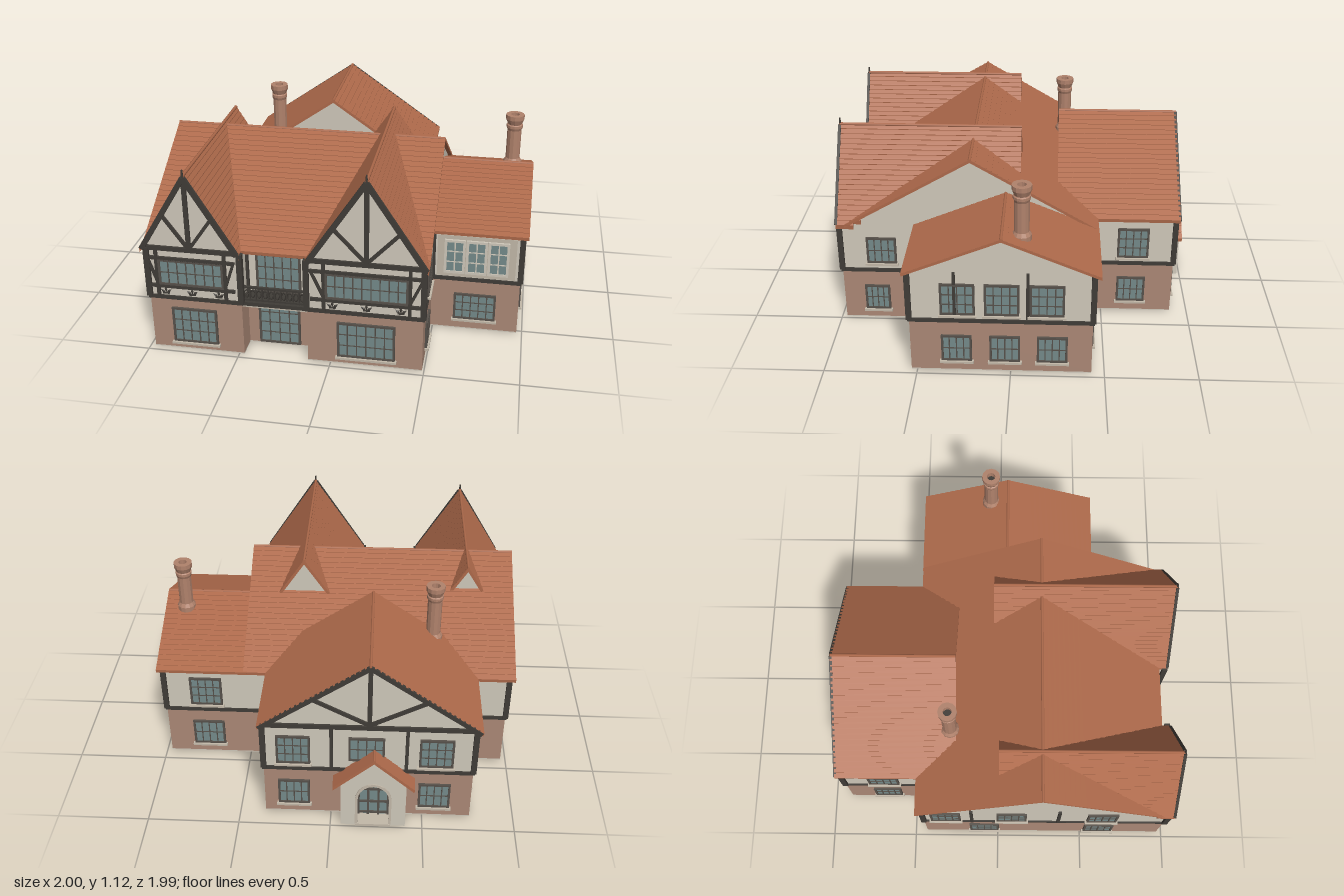
import * as THREE from 'three';
import { mergeGeometries } from 'three/addons/utils/BufferGeometryUtils.js';

const mat = (name, color) => Object.assign(new THREE.MeshStandardMaterial({ color }), { name });

export function createModel() {
  const house = new THREE.Group();
  house.name = 'house';
  const roofTile = mat('roof tile', 0xae6a4b), brick = mat('brick', 0xab8876), render = mat('cream render', 0xcfc8ba),
    timber = mat('dark timber', 0x403c37), glass = mat('window glass', 0x748a8a), frame = mat('window frame', 0x57514a),
    stone = mat('sill stone', 0xc2b8a8), chimneyBrick = mat('chimney brick', 0xb0826c);

  const add = (parent, name, geo, m) => {
    const mesh = new THREE.Mesh(geo, m);
    mesh.name = name;
    parent.add(mesh);
    return mesh;
  };
  const box = (parent, name, m, w, h, d, x, y, z) => {
    const b = add(parent, name, new THREE.BoxGeometry(w, h, d), m);
    b.position.set(x, y, z);
    return b;
  };
  const shapeOf = pts => new THREE.Shape(pts.map(p => new THREE.Vector2(p[0], p[1])));
  const extrude = (shape, depth) => new THREE.ExtrudeGeometry(shape, { depth, bevelEnabled: false, curveSegments: 8 });

  // One group per wall direction: x runs to the viewer's right, z points outward
  const face = (name, turn) => {
    const g = new THREE.Group();
    g.name = name;
    g.rotation.y = turn * Math.PI / 2;
    house.add(g);
    return g;
  };
  const front = face('frontDetails', 0), left = face('leftDetails', 1), back = face('backDetails', 2), right = face('rightDetails', -1);

  // Walls: storeys share one footprint [x, z]
  const plan = [[-.97, .97], [-.47, .97], [-.47, .85], [-.12, .85], [-.12, .97], [.49, .97], [.49, .53], [.97, .53],
    [.97, -.43], [.36, -.43], [.36, -.9], [-.76, -.9], [-.76, -.43], [-.97, -.43]];
  const storey = (name, m, y0, y1) => {
    const geo = extrude(shapeOf(plan.map(([x, z]) => [x, -z])), y1 - y0);
    add(house, name, geo.rotateX(-Math.PI / 2).translate(0, y0, 0), m);
  };
  storey('floor', render, .006, .012);
  storey('groundFloorWalls', brick, .012, .32);
  storey('upperFloorWalls', render, .32, .62);

  // Timber band and corner posts around the footprint
  plan.forEach(([x, z], i) => {
    const [x2, z2] = plan[(i + 1) % plan.length];
    box(house, 'timberBand', timber, Math.abs(x2 - x) + .016, .022, Math.abs(z2 - z) + .016, (x + x2) / 2, .326, (z + z2) / 2);
    box(house, 'cornerPost', timber, .03, .29, .03, x, .475, z);
  });

  // Gabled roof laid in overlapping courses; start(y) trims each course where it meets another roof
  function gable(name, o) {
    const { c, half, ridge, eave, from, to, alongX, n, start } = o;
    const slope = (ridge - eave) / half, tv = .014 * Math.hypot(1, slope), parts = [];
    const nx = .003 * slope / Math.hypot(1, slope), ny = .003 / Math.hypot(1, slope);
    for (let i = 0; i < n; i++) for (const s of [-1, 1]) {
      const xa = half * i / n, xb = half * (i + 1) / n, ya = ridge - slope * xa, yb = ridge - slope * xb;
      const begin = start ? start(yb) : from;
      const pts = [[s * xa, ya], [s * (xb + nx), yb + ny], [s * xb, yb - tv], [s * xa, ya - tv]];
      parts.push(extrude(shapeOf(pts), to - begin).translate(0, 0, begin));
    }
    const cap = new THREE.CylinderGeometry(.009, .009, to - from, 6).rotateX(Math.PI / 2).translate(0, ridge - .003, (from + to) / 2);
    parts.push(cap.toNonIndexed());
    const place = g => alongX ? g.rotateY(Math.PI / 2).translate(0, 0, c) : g.translate(c, 0, 0);
    add(house, name + 'Roof', place(mergeGeometries(parts)), roofTile);
    if (o.wall) {
      const [w0, w1, w] = o.wall, ye = Math.max(eave, ridge - slope * w - tv * .8);
      const wall = extrude(shapeOf([[-w, eave - .01], [w, eave - .01], [w, ye], [0, ridge - tv * .8], [-w, ye]]), w1 - w0);
      add(house, name + 'GableWall', place(wall.translate(0, 0, w0)), render);
    }
  }
  gable('main', { c: .237, half: .7, ridge: 1.03, eave: .62, from: -1, to: .512, alongX: true, n: 24, wall: [-.97, .49, .668] });
  gable('extension', { c: .045, half: .51, ridge: .83, eave: .62, from: .49, to: 1, alongX: true, n: 16, wall: [.48, .97, .476] });
  gable('backWing', { c: -.203, half: .588, ridge: 1.03, eave: .62, from: -.922, to: -.235, n: 22, wall: [-.9, -.25, .556] });
  const trim = z0 => y => y > .86 ? z0 : .237 + (1.03 - y) / .586 - .05;
  gable('frontRightGable', { c: -.735, half: .265, ridge: 1.05, eave: .62, from: .005, to: .985, n: 18, start: trim(.005), wall: [.02, .97, .232] });
  gable('frontLeftGable', { c: .195, half: .315, ridge: 1.093, eave: .62, from: -.03, to: .985, n: 20, start: trim(-.03), wall: [-.015, .97, .285] });
  gable('porch', { c: -.232, half: .217, ridge: .47, eave: .275, from: -.995, to: -.9, n: 7 });

  // Timber beam between two points on a wall
  const beam = (g, n, u0, y0, u1, y1, w = .022, m = timber) => {
    const b = box(g, 'timberBeam', m, Math.hypot(u1 - u0, y1 - y0), w, .016, (u0 + u1) / 2, (y0 + y1) / 2, n + .004);
    b.rotation.z = Math.atan2(y1 - y0, u1 - u0);
  };
  // Framed window with glazing bars and optional sill
  function win(g, n, u0, u1, y0, y1, cols, rows, { m = frame, sill = true, t = .012 } = {}) {
    const w = new THREE.Group(), W = u1 - u0, H = y1 - y0;
    w.name = 'window';
    w.position.set((u0 + u1) / 2, (y0 + y1) / 2, n);
    g.add(w);
    box(w, 'glass', glass, W, H, .008, 0, 0, .002);
    for (const s of [-1, 1]) {
      box(w, 'frameSide', m, t, H + t, .016, s * W / 2, 0, .004);
      box(w, 'frameRail', m, W + t, t, .016, 0, s * H / 2, .004);
    }
    for (let i = 1; i < cols; i++) box(w, 'glazingBar', m, t * .5, H, .012, W * (i / cols - .5), 0, .004);
    for (let i = 1; i < rows; i++) box(w, 'glazingBar', m, W, t * .4, .011, 0, H * (i / rows - .5), .004);
    if (sill) box(w, 'sill', stone, W + .03, .012, .03, 0, -H / 2 - .011, .008);
  }

  // Front windows and garden door
  win(front, .97, -.85, -.615, .06, .26, 5, 3);
  win(front, .97, .045, .34, .06, .26, 6, 3);
  win(front, .85, -.405, -.19, .025, .275, 4, 4, { sill: false });
  win(front, .85, -.41, -.18, .345, .565, 5, 3, { sill: false });
  win(front, .53, .62, .84, .08, .23, 5, 3);
  // Pale three-part window on the extension
  box(front, 'paleWindowSurround', stone, .425, .25, .02, .728, .47, .53);
  for (let i = 0; i < 3; i++) win(front, .54, .56 + i * .118, .66 + i * .118, .375, .565, 2, 3, { sill: false, m: render, t: .014 });

  // Half-timbered front gables
  const motif = (u, y) => {
    [[0, .012, 0], [-.016, .002, .9], [.016, .002, -.9]].forEach(([du, dy, r]) => {
      const p = add(front, 'leafMotif', new THREE.OctahedronGeometry(.013).scale(.6, 1.4, .4), timber);
      p.position.set(u + du, y + dy, .976);
      p.rotation.z = r;
    });
    box(front, 'motifBase', timber, .036, .008, .01, u, y - .01, .974);
  };
  for (const [c, hw, half, ridge, u] of [[-.735, .235, .265, 1.05, .17], [.195, .295, .315, 1.093, .21]]) {
    const n = .97, at = y => half * (ridge - y) / (ridge - .62);
    win(front, n, c - u, c + u, .41, .55, u > .2 ? 9 : 7, 2, { sill: false });
    for (const y of [.395, .562, .622]) beam(front, n, c - hw, y, c + hw, y, y > .6 ? .026 : .018);
    beam(front, n, c, .62, c, ridge - .04, .024);
    for (const s of [-1, 1]) {
      beam(front, n, c + s * (u + .014), .33, c + s * (u + .014), .62, .018);
      beam(front, n, c + s * hw, .57, c + s * (u + .01), .4, .014);
      beam(front, n, c + s * .01, .64, c + s * (at(.81) - .02), .81, .018);
      beam(front, .98, c + s * (half - .01), .615, c, ridge - .012, .028);
      motif(c + s * u * .85, .362);
    }
    motif(c, .362);
    const spike = add(front, 'finial', new THREE.CylinderGeometry(.004, .009, .06, 6), timber);
    spike.position.set(c, ridge + .002, .982);
  }

  // Balcony between the gables
  box(front, 'balconyFloor', timber, .36, .022, .12, -.295, .322, .908);
  box(front, 'balconyEdge', stone, .35, .012, .012, -.295, .306, .956);
  box(front, 'handrail', timber, .35, .012, .014, -.295, .418, .955);
  box(front, 'bottomRail', timber, .35, .01, .012, -.295, .345, .955);
  for (let i = 0; i <= 10; i++) {
    const u = -.46 + i * .033;
    box(front, 'baluster', timber, .007, .085, .008, u, .38, .955);
    if (i < 10) {
      const ring = add(front, 'railingOval', new THREE.TorusGeometry(.011, .0028, 4, 8).scale(1, 2, 1), timber);
      ring.position.set(u + .0165, .38, .955);
    }
  }

  // Left side (+x): u = -z
  win(left, .49, -.82, -.665, .38, .53, 4, 2);
  win(left, .49, -.845, -.715, .075, .22, 4, 2);
  for (const u of [-.36, -.13, .105]) win(left, .97, u, u + .17, .37, .545, 4, 3);
  for (const u of [-.36, -.105, .145]) win(left, .97, u, u + .15, .08, .228, 4, 2);
  win(left, .36, .585, .75, .37, .545, 4, 3);
  win(left, .36, .59, .74, .08, .228, 4, 2);
  for (const u of [-.29, .09]) beam(left, .97, u, .345, u, .62, .016);

  // Right side (-x): u = z
  for (const u of [.6, .08, -.3]) win(right, .97, u - .08, u + .08, .37, .54, 4, 3);
  for (const u of [.6, -.08]) win(right, .97, u - .08, u + .08, .08, .228, 4, 2);
  for (const u of [.35, -.15]) beam(right, .97, u, .33, u, .62, .018);
  win(right, .76, -.75, -.585, .37, .545, 4, 3);
  win(right, .76, -.74, -.59, .08, .228, 4, 2);

  // Back: u = -x
  win(back, .43, -.82, -.65, .37, .545, 4, 3);
  win(back, .43, -.82, -.65, .08, .235, 4, 2);
  for (const u of [-.2, .56]) {
    win(back, .9, u - .085, u + .085, .37, .545, 4, 3);
    win(back, .9, u - .08, u + .08, .08, .235, 4, 2);
  }
  win(back, .9, .1, .28, .4, .545, 4, 2, { sill: false });
  beam(back, .9, -.36, .622, .76, .622, .026);
  beam(back, .9, .203, .62, .203, 1.0, .024);
  for (const s of [-1, 1]) {
    beam(back, .9, .203, .64, .203 + s * .3, .8, .02);
    beam(back, .915, .203 + s * .58, .612, .203, 1.018, .024);
    beam(back, .9, .203 + s * .2, .33, .203 + s * .2, .62, .018);
  }

  // Porch with an arched opening, door and step
  const porch = shapeOf([[-.175, 0], [.175, 0], [.175, .3], [0, .452], [-.175, .3]]);
  const arch = r => [new THREE.Vector2(r, .012), ...Array.from({ length: 11 }, (_, i) =>
    new THREE.Vector2(r * Math.cos(i * Math.PI / 10), .19 + 1.15 * r * Math.sin(i * Math.PI / 10))), new THREE.Vector2(-r, .012)];
  porch.holes.push(new THREE.Path(arch(.085)));
  add(back, 'porchWalls', extrude(porch, .085), render).position.set(.232, 0, .9);
  const surround = new THREE.Shape(arch(.098));
  surround.holes.push(new THREE.Path(arch(.084)));
  add(back, 'archSurround', extrude(surround, .008), stone).position.set(.232, 0, .983);
  add(back, 'doorGlass', extrude(new THREE.Shape(arch(.086)), .006), glass).position.set(.232, 0, .905);
  for (const u of [-.08, -.028, .028, .08]) box(back, 'doorBar', frame, .012, .24, .012, .232 + u, .13, .913);
  for (const y of [.03, .11, .2]) box(back, 'doorRail', frame, .165, .012, .012, .232, y, .913);
  box(back, 'doorStep', stone, .19, .014, .09, .232, .007, .95);

  // Chimneys
  for (const [x, z, y0, y1] of [[-.54, -.27, .7, 1.1], [.88, -.055, .72, 1.08]]) {
    const prof = [[.052, y0], [.052, y0 + .08], [.04, y0 + .1], [.04, y1 - .09], [.046, y1 - .075], [.046, y1 - .06],
      [.04, y1 - .055], [.052, y1 - .025], [.052, y1], [.024, y1], [.024, y1 - .04]].map(p => new THREE.Vector2(...p));
    const stack = add(house, 'chimney', new THREE.LatheGeometry(prof, 12).toNonIndexed(), chimneyBrick);
    stack.geometry.computeVertexNormals();
    stack.position.set(x, 0, z);
    const hole = add(house, 'flue', new THREE.CircleGeometry(.025, 12).rotateX(-Math.PI / 2), timber);
    hole.position.set(x, y1 - .035, z);
  }
  return house;
}
